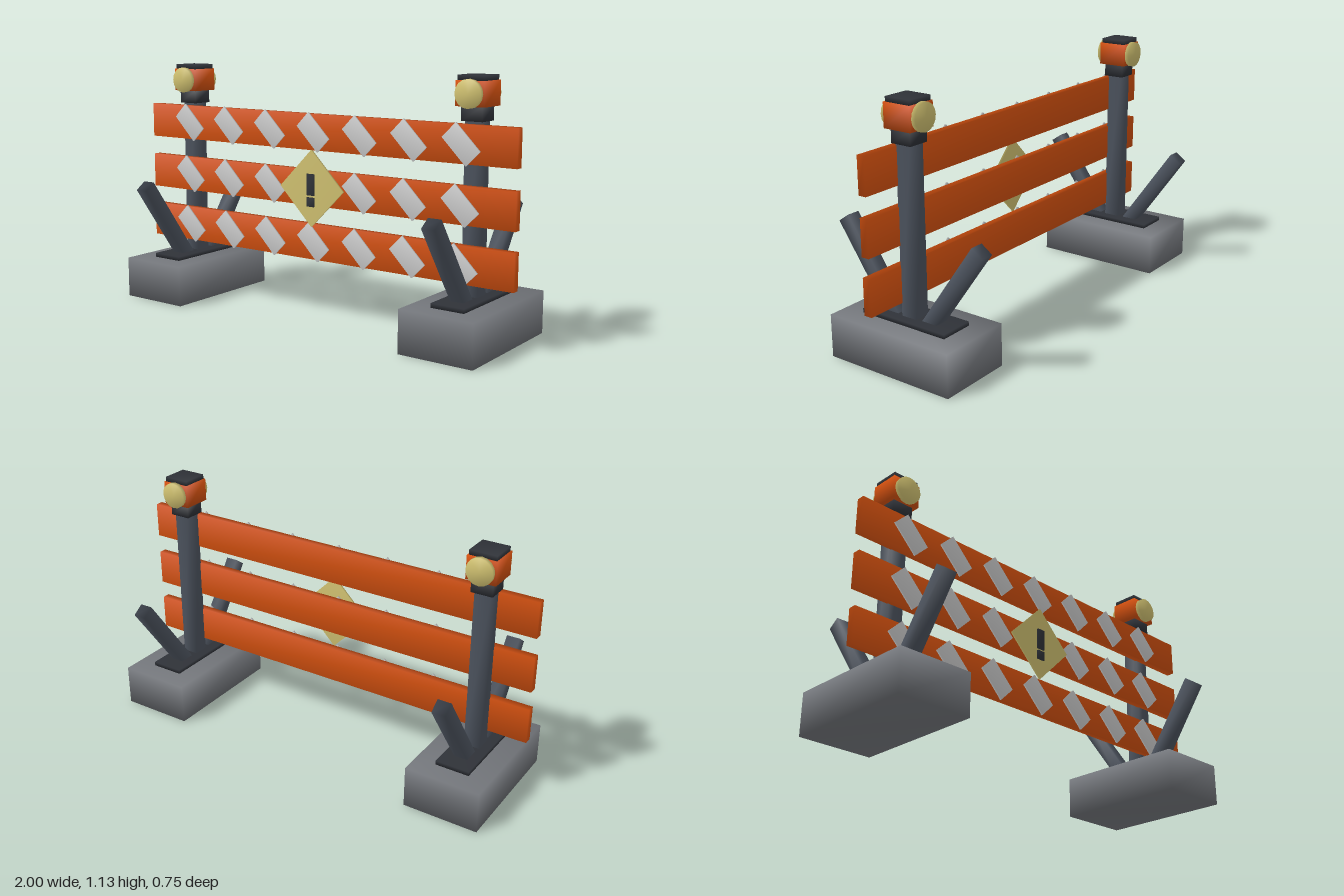
import * as THREE from 'three';
import { mergeVertices } from 'three/addons/utils/BufferGeometryUtils.js';

const material = (color) => new THREE.MeshStandardMaterial({ color });

// Weld all corners so the normals blend across the edges
function soften(geometry) {
  geometry.deleteAttribute('normal');
  geometry.deleteAttribute('uv');
  const welded = mergeVertices(geometry, 1e-4);
  welded.computeVertexNormals();
  return welded;
}

export function createModel() {
  const root = new THREE.Group();
  root.name = 'roadBarricade';

  const concrete = material(0x74777c);
  const steel = material(0x4c535e);
  const dark = material(0x2f3238);
  const orange = material(0xd2500f);
  const reflective = material(0xcccccc);
  const yellow = material(0xcfc070);

  function add(parent, name, geometry, mat, x, y, z) {
    const mesh = new THREE.Mesh(soften(geometry), mat);
    mesh.name = name;
    mesh.position.set(x, y, z);
    parent.add(mesh);
    return mesh;
  }
  const box = (parent, name, mat, w, h, d, x, y, z) =>
    add(parent, name, new THREE.BoxGeometry(w, h, d), mat, x, y, z);

  // Two identical supports: foot, post, braces and warning lamp
  for (const side of [-1, 1]) {
    const support = new THREE.Group();
    support.name = side > 0 ? 'leftSupport' : 'rightSupport';
    support.position.x = side * 0.782;
    root.add(support);

    box(support, 'footBlock', concrete, 0.345, 0.19, 0.624, 0, 0.095, 0);
    box(support, 'footPlate', dark, 0.155, 0.02, 0.436, 0, 0.199, 0);
    box(support, 'post', steel, 0.074, 0.76, 0.074, 0, 0.57, 0);

    // Braces lean outward to the front and the back
    for (const dir of [-1, 1]) {
      const brace = box(support, dir > 0 ? 'frontBrace' : 'backBrace', steel,
        0.062, 0.46, 0.062, 0, 0.377, dir * 0.22);
      brace.rotation.x = dir * THREE.MathUtils.degToRad(35);
    }

    box(support, 'lampCollar', dark, 0.098, 0.062, 0.098, 0, 0.97, 0);
    box(support, 'lampBody', orange, 0.134, 0.105, 0.136, 0, 1.052, 0);
    box(support, 'lampCap', dark, 0.123, 0.024, 0.123, 0, 1.114, 0);
    for (const dir of [-1, 1]) {
      const lens = new THREE.CylinderGeometry(0.06, 0.06, 0.022, 16);
      lens.rotateX(Math.PI / 2);
      add(support, dir > 0 ? 'frontLens' : 'backLens', lens, yellow, 0, 1.052, dir * 0.077);
    }
  }

  // Three boards, each with seven slanted reflective stripes
  for (const y of [0.347, 0.595, 0.847]) {
    box(root, 'board', orange, 2, 0.162, 0.037, 0, y, 0.0515);
    for (let i = -3; i <= 3; i++) {
      const stripe = box(root, 'stripe', reflective, 0.16, 0.09, 0.01, i * 0.25, y, 0.074);
      stripe.rotation.z = -Math.PI / 4;
    }
  }

  // Diamond warning sign with an exclamation mark
  const sign = box(root, 'warningSign', yellow, 0.247, 0.247, 0.01, 0, 0.595, 0.084);
  sign.rotation.z = Math.PI / 4;
  box(root, 'markBar', dark, 0.04, 0.097, 0.008, 0, 0.613, 0.092);
  box(root, 'markDot', dark, 0.04, 0.042, 0.008, 0, 0.534, 0.092);

  return root;
}
